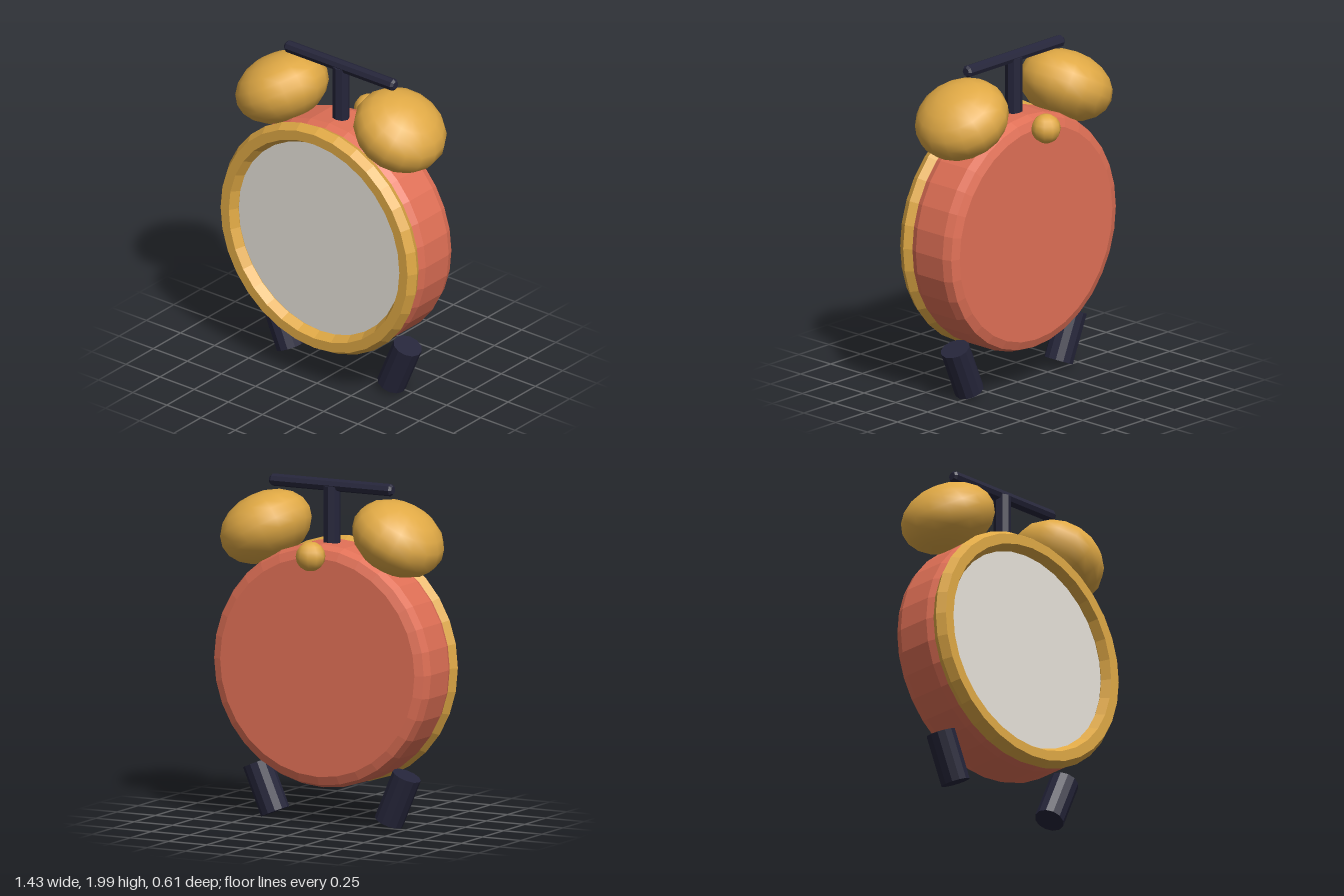
import * as THREE from 'three';

const gold = new THREE.MeshStandardMaterial({ color: 0xe0a945 });
gold.name = 'gold';
const coral = new THREE.MeshStandardMaterial({ color: 0xe07056 });
coral.name = 'coral';
const cream = new THREE.MeshStandardMaterial({ color: 0xf0ebe2 });
cream.name = 'cream';
const dark = new THREE.MeshStandardMaterial({ color: 0x25253a });
dark.name = 'dark navy';

const CENTRE_Y = 0.93; // middle of the clock face
const CENTRE_Z = 0.03; // middle of the case depth

// Faceted normals baked into the geometry
function faceted(geometry) {
  const flat = geometry.index ? geometry.toNonIndexed() : geometry;
  flat.computeVertexNormals();
  return flat;
}

// Solid of revolution about y, from [radius, height] pairs listed bottom to top
function turned(profile, sides) {
  return faceted(new THREE.LatheGeometry(profile.map(([r, h]) => new THREE.Vector2(r, h)), sides));
}

export function createModel() {
  const model = new THREE.Group();
  model.name = 'alarmClock';

  function add(name, geometry, material, x, y, z) {
    const mesh = new THREE.Mesh(geometry, material);
    mesh.name = name;
    mesh.position.set(x, y, z);
    model.add(mesh);
    return mesh;
  }

  // Drum case with a two-step bevel on both rims
  const caseProfile = [
    [0, -0.175], [0.635, -0.175], [0.685, -0.155], [0.705, -0.105],
    [0.705, 0.105], [0.685, 0.155], [0.635, 0.175], [0, 0.175],
  ];
  add('case', turned(caseProfile, 32), coral, 0, CENTRE_Y, CENTRE_Z).rotation.x = Math.PI / 2;

  // Bezel ring and dial
  add('bezel', faceted(new THREE.TorusGeometry(0.655, 0.06, 6, 32)), gold, 0, CENTRE_Y, 0.225);
  add('dial', faceted(new THREE.CylinderGeometry(0.61, 0.61, 0.02, 32)), cream, 0, CENTRE_Y, 0.208)
    .rotation.x = Math.PI / 2;

  // Bells and feet, mirrored left and right
  const bell = new THREE.SphereGeometry(0.278, 16, 10);
  bell.scale(1, 0.72, 1);
  const foot = faceted(new THREE.CylinderGeometry(0.086, 0.086, 0.3, 12));
  for (const [side, s] of [['left', 1], ['right', -1]]) {
    add(side + 'Bell', bell, gold, s * 0.432, 1.688, CENTRE_Z).rotation.z = -s * 0.5;
    add(side + 'Foot', foot, dark, s * 0.43, 0.178, CENTRE_Z).rotation.z = -s * 0.403;
  }

  // Handle: post and crossbar with softened ends
  add('handlePost', faceted(new THREE.CylinderGeometry(0.05, 0.05, 0.41, 8)), dark, 0, 1.755, CENTRE_Z);
  const barProfile = [
    [0, -0.4], [0.024, -0.4], [0.036, -0.385], [0.036, 0.385], [0.024, 0.4], [0, 0.4],
  ];
  add('handleBar', turned(barProfile, 8), dark, 0, 1.964, CENTRE_Z).rotation.z = Math.PI / 2;

  // Knob on the upper back
  add('backKnob', new THREE.SphereGeometry(0.086, 10, 8), gold, 0, 1.586, -0.224);

  return model;
}
